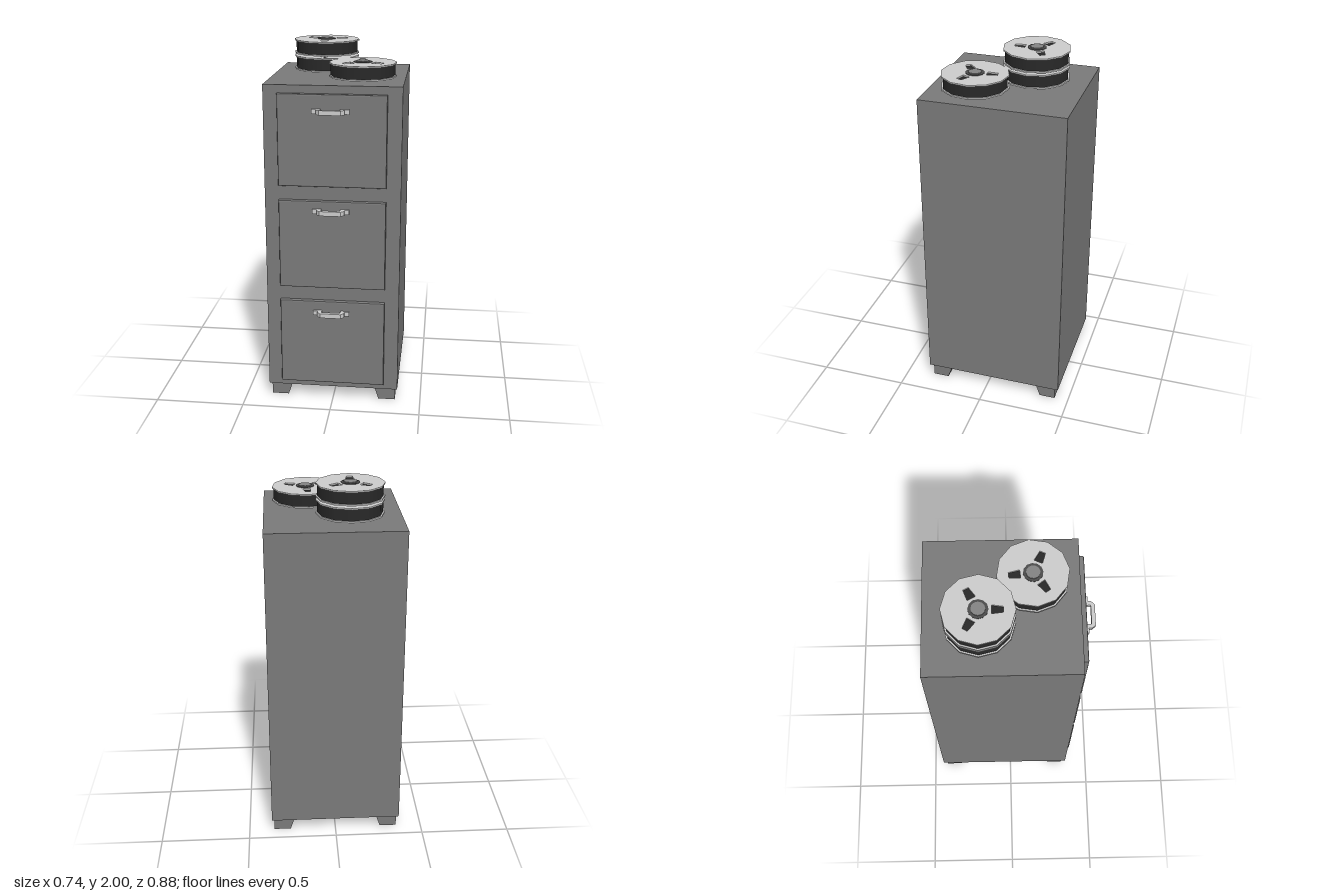
import * as THREE from 'three';

const mat = (color, flatShading = true) => new THREE.MeshStandardMaterial({ color, flatShading });
const steel = mat(0x797979);
const metal = mat(0xcccccc);
const tapeBlack = mat(0x282828, false);
const hubDark = mat(0x4b4b4b);
const hubGrey = mat(0x838383);

function add(parent, name, geometry, material, x = 0, y = 0, z = 0) {
  const mesh = new THREE.Mesh(geometry, material);
  mesh.name = name;
  mesh.position.set(x, y, z);
  parent.add(mesh);
  return mesh;
}

const toShape = (pts) => new THREE.Shape(pts.map(([x, y]) => new THREE.Vector2(x, y)));

// Extrudes a plan drawn in x/z to a slab centred on y = 0
function slab(shape, height) {
  return new THREE.ExtrudeGeometry(shape, { depth: height, bevelEnabled: false })
    .rotateX(Math.PI / 2)
    .translate(0, height / 2, 0);
}

// Drawer front with softened outer edges; back at z = 0
function drawerGeometry(w, h, depth, bevel) {
  const x = w / 2 - bevel, y = h / 2 - bevel;
  const shape = toShape([[-x, -y], [x, -y], [x, y], [-x, y]]);
  return new THREE.ExtrudeGeometry(shape, {
    depth: depth - 2 * bevel, bevelThickness: bevel, bevelSize: bevel, bevelSegments: 2,
  }).translate(0, 0, bevel);
}

// Bracket handle with mounting tabs and angled corners
function handleGeometry() {
  const half = [[0.052, 0.418], [0.052, 0.386], [0.1, 0.386], [0.1, 0.404],
    [0.075, 0.404], [0.075, 0.42], [0.057, 0.439]];
  const mirrored = half.map(([x, z]) => [-x, z]).reverse();
  return slab(toShape([...half, ...mirrored]), 0.025);
}

// Twelve-sided reel flange with three tapered windows
function flangeGeometry(radius, thickness) {
  const corners = Array.from({ length: 12 }, (_, i) => {
    const a = (i * Math.PI) / 6;
    return [radius * Math.cos(a), radius * Math.sin(a)];
  });
  const shape = toShape(corners);
  for (let i = 0; i < 3; i++) {
    const a = Math.PI / 2 + (i * Math.PI * 2) / 3;
    const window = [[0.065, -0.023], [0.065, 0.023], [0.123, 0.015], [0.123, -0.015]];
    shape.holes.push(new THREE.Path(window.map(([r, t]) => new THREE.Vector2(
      r * Math.cos(a) - t * Math.sin(a), r * Math.sin(a) + t * Math.cos(a)))));
  }
  return slab(shape, thickness);
}

function makeReel(name, x, y, z, turn) {
  const reel = new THREE.Group();
  reel.name = name;
  const flange = flangeGeometry(0.184, 0.008);
  add(reel, 'upperFlange', flange, metal, 0, 0.035, 0);
  add(reel, 'lowerFlange', flange, metal, 0, -0.035, 0);
  add(reel, 'tapeRoll', new THREE.CylinderGeometry(0.175, 0.175, 0.062, 12), tapeBlack);
  add(reel, 'hubRing', new THREE.CylinderGeometry(0.051, 0.051, 0.084, 12), hubDark);
  add(reel, 'hubCap', new THREE.CylinderGeometry(0.036, 0.036, 0.094, 12), hubGrey);
  reel.position.set(x, y, z);
  reel.rotation.y = turn;
  return reel;
}

// Foot block narrowing downward toward the cabinet's outer corner
function footGeometry(sx, sz) {
  const geo = new THREE.BoxGeometry(0.12, 0.077, 0.118);
  const p = geo.attributes.position;
  const ox = sx * 0.058, oz = sz * 0.057;
  for (let i = 0; i < p.count; i++) {
    if (p.getY(i) > 0) continue;
    p.setX(i, ox + (p.getX(i) - ox) * 0.79);
    p.setZ(i, oz + (p.getZ(i) - oz) * 0.77);
  }
  geo.computeVertexNormals();
  return geo;
}

export function createModel() {
  const model = new THREE.Group();
  model.name = 'filingCabinetWithReels';

  // Cabinet body
  add(model, 'cabinetBody', new THREE.BoxGeometry(0.738, 1.737, 0.802), steel, 0, 0.9435, -0.04);

  // Four feet
  for (const sx of [-1, 1]) {
    for (const sz of [-1, 1]) {
      const name = (sz > 0 ? 'front' : 'back') + (sx > 0 ? 'Left' : 'Right') + 'Foot';
      add(model, name, footGeometry(sx, sz), steel, sx * 0.296, 0.0385, sz * 0.321 - 0.04);
    }
  }

  // Drawers and handles
  const drawer = drawerGeometry(0.582, 0.5, 0.031, 0.007);
  const handle = handleGeometry();
  const rows = [['top', 1.52, 1.682], ['middle', 0.941, 1.137], ['bottom', 0.361, 0.545]];
  for (const [row, drawerY, handleY] of rows) {
    add(model, row + 'Drawer', drawer, steel, 0, drawerY, 0.358);
    add(model, row + 'Handle', handle, metal, -0.005, handleY, 0);
  }

  // Tape reels: a stack of two and a single one beside it
  model.add(
    makeReel('stackUpperReel', -0.092, 1.953, -0.153, -0.023),
    makeReel('stackLowerReel', -0.092, 1.864, -0.153, -0.023),
    makeReel('singleReel', 0.138, 1.864, 0.12, Math.PI + 0.1),
  );
  return model;
}
